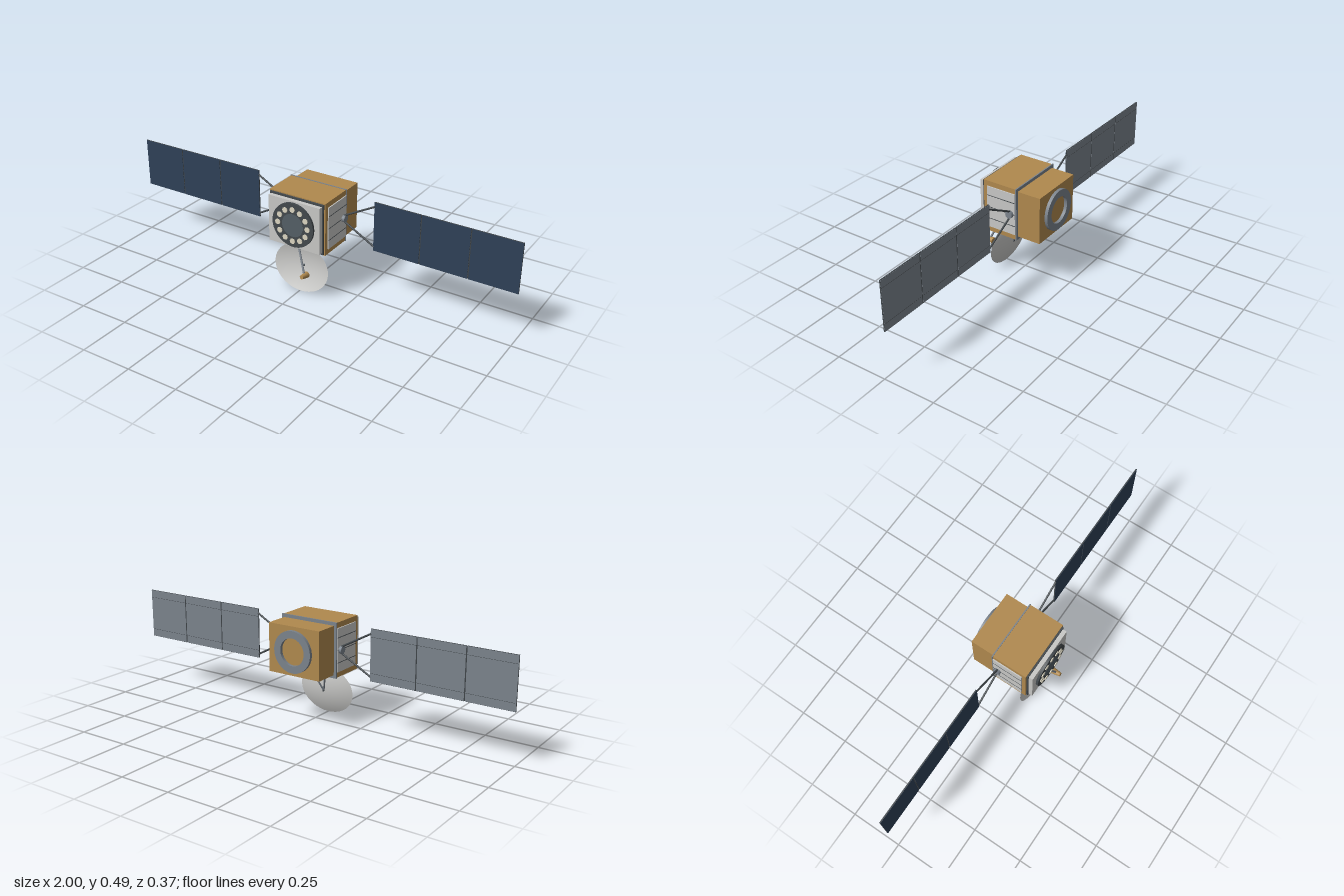
import * as THREE from 'three';

const mat = (name, color) => {
  const m = new THREE.MeshStandardMaterial({ color });
  m.name = name;
  return m;
};

export function createModel() {
  const foil = mat('gold foil', 0xb0894e);
  const light = mat('light grey', 0xc8c8c6);
  const grey = mat('metal grey', 0x7b838c);
  const dark = mat('dark grey', 0x43494d);
  const slate = mat('slate', 0x545f66);
  const navy = mat('solar navy', 0x2f4158);
  const cream = mat('cream', 0xdcd6c2);
  const dish = mat('dish white', 0xcacac8);
  dish.side = THREE.DoubleSide;

  const root = new THREE.Group();
  root.name = 'satellite';
  const CY = 0.366; // height of the body axis
  const WZ = -0.023; // depth of the solar wings

  const add = (name, geo, material, x = 0, y = 0, z = 0, parent = root) => {
    const mesh = new THREE.Mesh(geo, material);
    mesh.name = name;
    mesh.position.set(x, y, z);
    parent.add(mesh);
    return mesh;
  };
  const box = (name, m, w, h, d, x, y, z, parent) =>
    add(name, new THREE.BoxGeometry(w, h, d), m, x, y, z, parent);
  // Cylinder between two points, r0 at a and r1 at b
  const rod = (name, m, a, b, r0, r1 = r0, sides = 10, parent = root) => {
    const p = new THREE.Vector3(...a), q = new THREE.Vector3(...b);
    const dir = q.clone().sub(p);
    const mid = p.clone().add(q).multiplyScalar(0.5);
    const mesh = add(name, new THREE.CylinderGeometry(r1, r0, dir.length(), sides), m, mid.x, mid.y, mid.z, parent);
    mesh.quaternion.setFromUnitVectors(new THREE.Vector3(0, 1, 0), dir.normalize());
    return mesh;
  };

  // Body blocks
  box('mainBody', foil, 0.294, 0.256, 0.173, 0, CY, 0.0365);
  box('rearBody', foil, 0.274, 0.229, 0.12, 0, CY, -0.109);
  box('bodyFlange', grey, 0.3, 0.26, 0.006, 0, CY, -0.051);
  box('frontFrame', dark, 0.282, 0.246, 0.008, 0, CY, 0.127);
  box('frontPlate', light, 0.27, 0.228, 0.02, 0, CY, 0.141);

  // Round antenna array on the front
  rod('antennaDisc', dark, [0, CY, 0.15], [0, CY, 0.162], 0.108, 0.108, 40);
  rod('antennaCentre', slate, [0, CY, 0.16], [0, CY, 0.163], 0.056, 0.056, 40);
  for (let i = 0; i < 12; i++) {
    const a = (i / 12) * Math.PI * 2;
    const x = 0.078 * Math.sin(a), y = CY + 0.078 * Math.cos(a);
    rod('antennaElement', cream, [x, y, 0.16], [x, y, 0.166], 0.0135, 0.0135, 8);
  }

  // Docking ring on the back
  const ringShape = new THREE.Shape().absarc(0, 0, 0.098, 0, Math.PI * 2, false);
  ringShape.holes.push(new THREE.Path().absarc(0, 0, 0.064, 0, Math.PI * 2, true));
  add('rearRing', new THREE.ExtrudeGeometry(ringShape, { depth: 0.015, bevelEnabled: false, curveSegments: 48 }),
    grey, 0, CY, -0.184);

  // Mirrored sides: radiators, hinges and solar wings
  for (const s of [1, -1]) {
    const side = new THREE.Group();
    side.name = s > 0 ? 'leftWing' : 'rightWing';
    root.add(side);

    box('radiatorPanel', light, 0.006, 0.205, 0.15, s * 0.149, CY, 0.028, side);
    for (const dy of [-0.058, 0, 0.059])
      box('radiatorSeam', dark, 0.002, 0.003, 0.15, s * 0.152, CY + dy, 0.028, side);
    rod('wingHub', grey, [s * 0.147, CY, WZ], [s * 0.166, CY, WZ], 0.018, 0.018, 10, side);
    for (const v of [1, -1])
      rod('wingStrut', dark, [s * 0.155, CY + v * 0.014, WZ], [s * 0.313, CY + v * 0.1, WZ], 0.0045, 0.0045, 8, side);

    for (let i = 0; i < 3; i++) {
      const x = s * (0.4235 + i * 0.2315);
      box('panelFrame', dark, 0.227, 0.241, 0.005, x, CY + 0.002, WZ, side);
      box('solarCells', navy, 0.226, 0.239, 0.001, x, CY + 0.002, WZ + 0.0028, side);
      box('panelBack', grey, 0.226, 0.239, 0.001, x, CY + 0.002, WZ - 0.0028, side);
      for (const v of [1, -1])
        box('panelBackLine', dark, 0.226, 0.0015, 0.0006, x, CY + 0.002 + v * 0.083, WZ - 0.0032, side);
      if (i < 2)
        rod('panelHinge', dark, [x + s * 0.1157, CY - 0.117, WZ - 0.001], [x + s * 0.1157, CY + 0.121, WZ - 0.001], 0.003, 0.003, 8, side);
    }
  }

  // Oval reflector dish under the body, tilted slightly upward
  const R = 0.118, depth = 0.025, profile = [];
  for (let i = 0; i <= 10; i++) {
    const r = (R * i) / 10;
    profile.push(new THREE.Vector2(r, depth * ((i / 10) ** 2 - 1)));
  }
  const dishGeo = new THREE.LatheGeometry(profile, 40);
  dishGeo.rotateX(Math.PI / 2);
  dishGeo.scale(1.225, 1, 1);
  add('reflectorDish', dishGeo, dish, 0, 0.1195, 0.093).rotation.x = -0.112;
  rod('dishPivot', dark, [0, 0.118, 0.062], [0, 0.119, 0.071], 0.005, 0.005, 8);
  for (const s of [1, -1])
    rod('dishStrut', grey, [s * 0.045, 0.242, 0.015], [0, 0.118, 0.067], 0.004, 0.004, 8);

  // Feed horn on its arm
  rod('feedArm', grey, [0.004, 0.245, 0.12], [0.06, 0.128, 0.16], 0.005, 0.005, 8);
  rod('feedHorn', foil, [0.06, 0.129, 0.183], [0.06, 0.123, 0.141], 0.0095, 0.0155, 20);
  return root;
}
